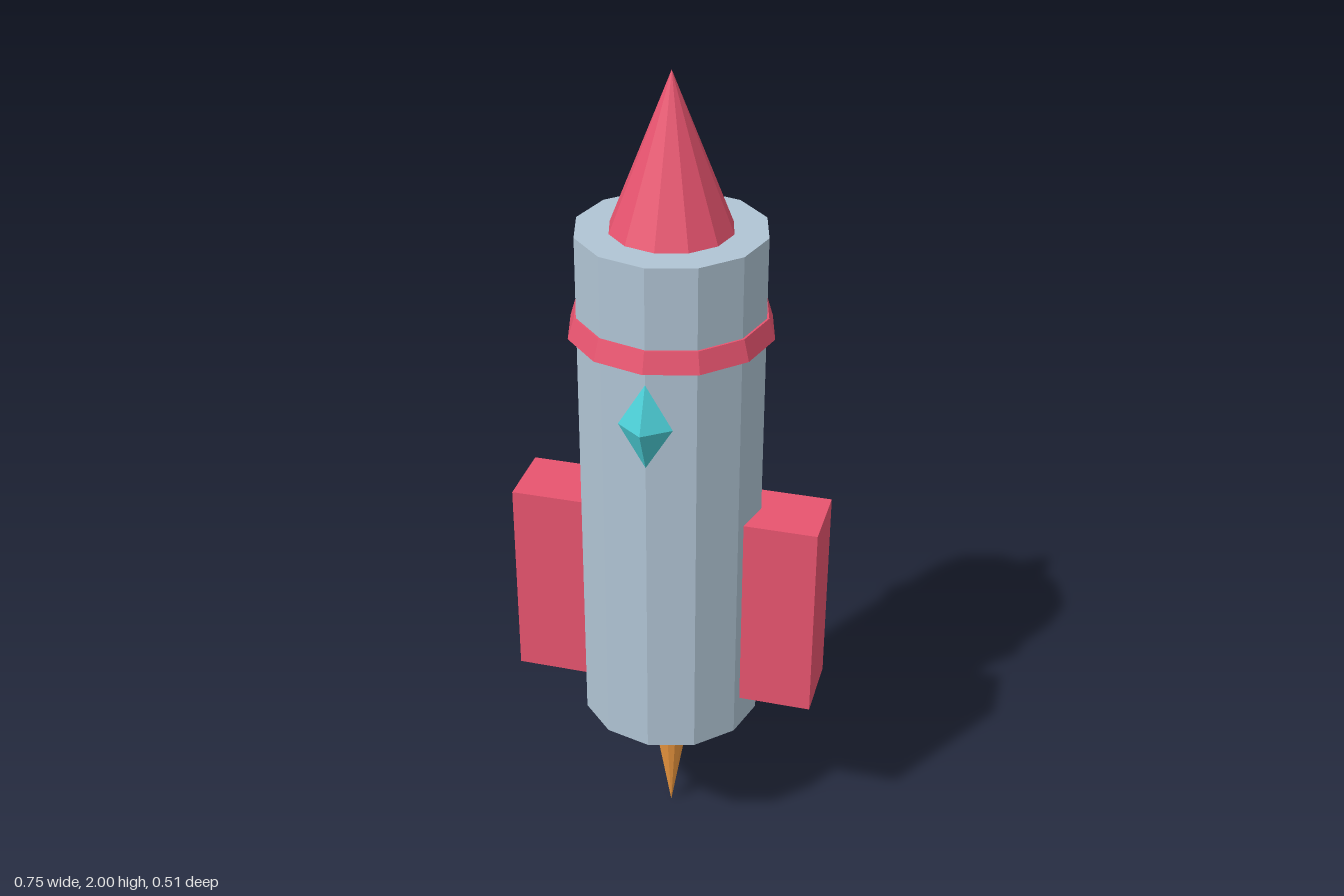
import * as THREE from 'three';

const paint = (color) => new THREE.MeshStandardMaterial({ color, flatShading: true });

export function createModel() {
  const rocket = new THREE.Group();
  rocket.name = 'rocket';

  const grey = paint(0xb0c4d4);
  const red = paint(0xe8546f);
  const orange = paint(0xf09a40);
  const teal = paint(0x4dd0d8);
  const axisZ = -0.015;
  const sides = 12;

  const add = (name, geometry, material, x, y, z) => {
    const mesh = new THREE.Mesh(geometry, material);
    mesh.name = name;
    mesh.position.set(x, y, z);
    rocket.add(mesh);
    return mesh;
  };

  // Turned part standing between two heights on the rocket's axis
  const turned = (name, rTop, rBottom, y0, y1, material) =>
    add(name, new THREE.CylinderGeometry(rTop, rBottom, y1 - y0, sides), material, 0, (y0 + y1) / 2, axisZ);

  turned('body', 0.22, 0.22, 0.36, 1.643, grey);
  turned('collar', 0.225, 0.24, 1.4, 1.45, red);
  turned('noseCone', 0, 0.142, 1.643, 2, red);
  turned('exhaustFlame', 0.06, 0, 0, 0.36, orange);

  // Side boosters, sunk slightly into the body
  for (const side of [1, -1]) {
    add(side > 0 ? 'leftFin' : 'rightFin',
      new THREE.BoxGeometry(0.223, 0.505, 0.17), red, side * 0.2615, 0.6975, -0.015);
  }

  // Faceted window gem on the front
  add('windowGem', new THREE.OctahedronGeometry(1), teal, 0, 1.26, 0.205).scale.set(0.063, 0.105, 0.047);

  return rocket;
}
